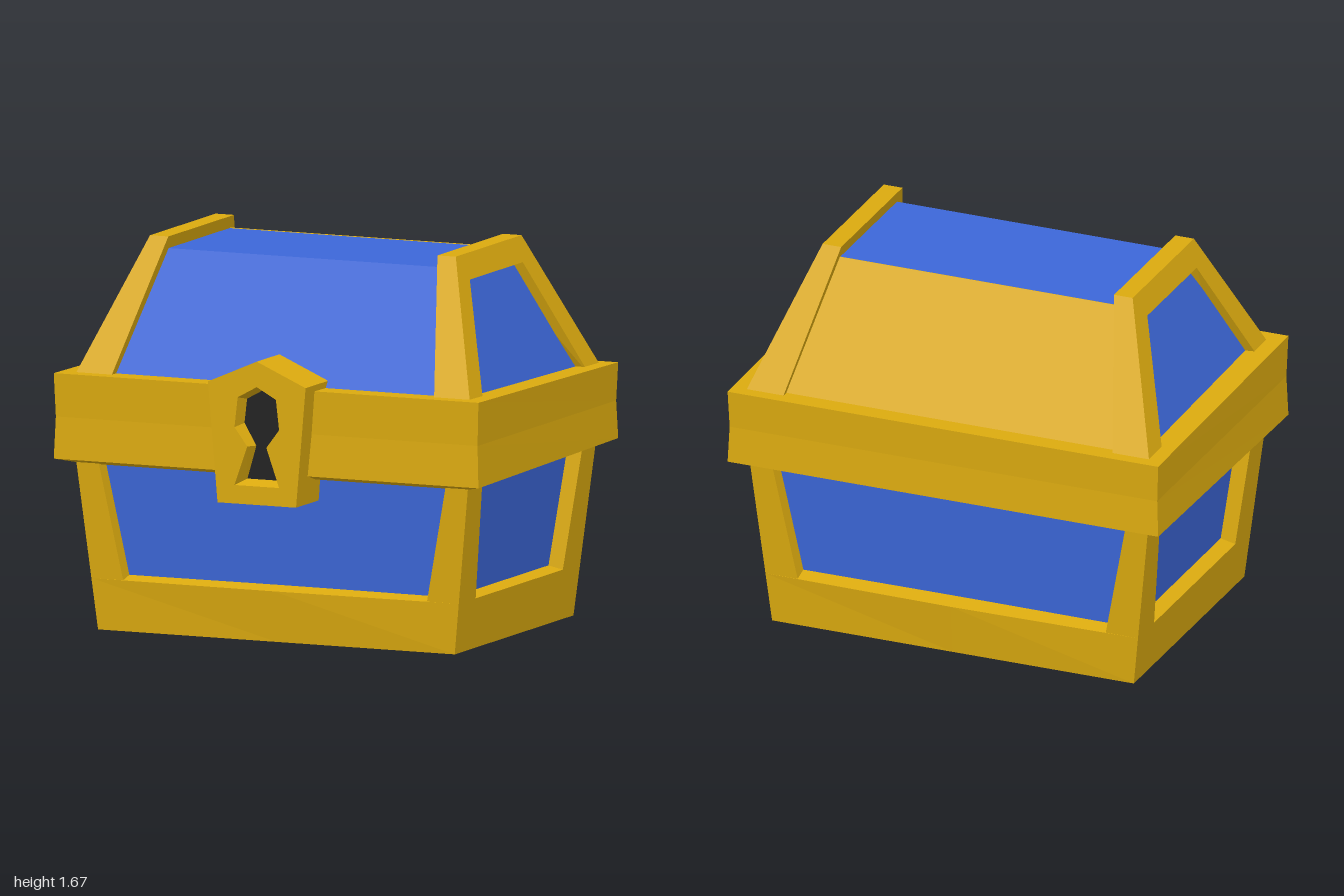
import * as THREE from 'three';

const gold = new THREE.MeshStandardMaterial({ color: 0xdbaa0f });
gold.name = 'gold';
const blue = new THREE.MeshStandardMaterial({ color: 0x3c67d8 });
blue.name = 'blue';
const dark = new THREE.MeshStandardMaterial({ color: 0x222222 });
dark.name = 'dark';

// Flat-shaded skin through rings of [x, y, z] points; capped solids are turned to face outward.
function loft(rings, capped = true) {
  const tris = [];
  const n = rings[0].length;
  for (let r = 0; r < rings.length - 1; r++) {
    const a = rings[r], b = rings[r + 1];
    for (let i = 0; i < n; i++) {
      const j = (i + 1) % n;
      tris.push([a[i], a[j], b[j]], [a[i], b[j], b[i]]);
    }
  }
  if (capped) {
    const a = rings[0], b = rings[rings.length - 1];
    for (let i = 1; i < n - 1; i++) tris.push([a[0], a[i + 1], a[i]], [b[0], b[i], b[i + 1]]);
    let volume = 0;
    for (const [p, q, s] of tris) {
      volume += new THREE.Vector3(...p).dot(new THREE.Vector3(...q).cross(new THREE.Vector3(...s)));
    }
    if (volume < 0) tris.forEach((t) => t.reverse());
  }
  const geometry = new THREE.BufferGeometry();
  geometry.setAttribute('position', new THREE.Float32BufferAttribute(tris.flat(2), 3));
  geometry.computeVertexNormals();
  return geometry;
}

// Horizontal rectangular ring; front and back edges may sit at different heights and bulge.
function ring(hx, zf, zb, yf, yb = yf, bulge = 0) {
  return [[hx, yf, zf], [0, yf, zf + bulge], [-hx, yf, zf],
    [-hx, yb, zb], [0, yb, zb - bulge], [hx, yb, zb]];
}

// Tapered body: half width, front z and back z at height y
const bodyX = (y) => 0.84 + 0.113 * y;
const bodyF = (y) => 0.56 + 0.06 * y;
const bodyB = (y) => -0.65 - 0.06 * y;
const bodyRing = (y, inset = 0, bulge = 0) =>
  ring(bodyX(y) - inset, bodyF(y) - inset, bodyB(y) + inset, y, y, bulge);

// Lid end arches: outer and inner x at height y
const archOut = (y) => 0.925 - 0.366 * (y - 1.115);
const archIn = (y) => 0.757 - 0.222 * (y - 1.12);
const lidEnd = (y) => archOut(y) - 0.04;

export function createModel() {
  const model = new THREE.Group();
  model.name = 'treasureChest';
  const add = (name, geometry, material) => {
    const mesh = new THREE.Mesh(geometry, material);
    mesh.name = name;
    model.add(mesh);
    return mesh;
  };

  // Body: recessed blue panels, base rail and corner posts
  add('bodyPanels', loft([bodyRing(0.1, 0.07), bodyRing(0.85, 0.07)]), blue);
  add('baseRail', loft([bodyRing(0), bodyRing(0.222, 0, 0.012), bodyRing(0.238, 0.08, 0.012)]), gold);
  const posts = [
    { name: 'Front', outer: bodyF, inner: (y) => 0.376 + 0.113 * y },
    { name: 'Back', outer: bodyB, inner: (y) => -0.457 - 0.137 * y },
  ];
  for (const s of [1, -1]) {
    for (const { name, outer, inner } of posts) {
      const section = (y) => {
        const ox = s * bodyX(y), ix = s * (0.671 + 0.2 * y);
        return [[ox, y, outer(y)], [ix, y, outer(y)], [ix, y, inner(y)], [ox, y, inner(y)]];
      };
      add((s > 0 ? 'left' : 'right') + name + 'Post', loft([section(0.18), section(0.8)]), gold);
    }
  }

  // Rim band around the opening
  add('rimBand', loft([
    ring(0.9, 0.58, -0.67, 0.718, 0.735),
    ring(1, 0.665, -0.76, 0.743, 0.762),
    ring(0.993, 0.659, -0.754, 0.925),
    ring(1, 0.665, -0.76, 1.113, 1.09),
  ]), gold);

  // Lid: blue core with a gold back slope
  const profile = [[0.585, 1.05], [0.26, 1.62], [-0.36, 1.62], [-0.69, 1.05]];
  const lidRing = (s, points, x) => points.map(([z, y]) => [s * x(y), y, z]);
  add('lidPanels', loft([lidRing(1, profile, lidEnd), lidRing(-1, profile, lidEnd)]), blue);
  const slope = [[-0.36, 1.62], [-0.69, 1.05], [-0.697, 1.054], [-0.366, 1.622]];
  const slopeEnd = (y) => archIn(y) + 0.03;
  add('lidBackPanel', loft([lidRing(1, slope, slopeEnd), lidRing(-1, slope, slopeEnd)]), gold);

  // Arched frames at both lid ends, each station: outer z, y, then window z, y
  const stations = [
    [0.628, 1.05, 0.496, 1.05], [0.29, 1.675, 0.23, 1.57],
    [-0.38, 1.675, -0.31, 1.57], [-0.728, 1.05, -0.587, 1.05],
  ];
  for (const s of [1, -1]) {
    const sections = stations.map(([zo, yo, zi, yi]) => {
      const yc = yi > 1.1 ? yi - 0.03 : yi;
      const zc = zi - Math.sign(zi + 0.04) * 0.03;
      return [
        [s * archOut(yo), yo, zo], [s * archIn(yo), yo, zo],
        [s * archIn(yc), yc, zc], [s * archOut(yi), yi, zi],
      ];
    });
    add(s > 0 ? 'leftLidArch' : 'rightLidArch', loft(sections), gold);
  }

  // Lock plate with a bevelled keyhole
  const mirrored = (half, top) => [...half, [0, top], ...half.map(([x, y]) => [-x, y]).reverse()];
  const toVectors = (points) => points.map(([x, y]) => new THREE.Vector2(x, y));
  const plate = new THREE.Shape(toVectors(mirrored([[0.185, 0.62], [0.23, 1.14]], 1.24)));
  const opening = mirrored([[0.105, 0.7], [0.045, 0.87], [0.105, 0.95], [0.09, 1.08]], 1.13);
  const keyhole = mirrored([[0.076, 0.72], [0.034, 0.865], [0.09, 0.96], [0.078, 1.065]], 1.108);
  plate.holes.push(new THREE.Path(toVectors(opening)));
  add('lockPlate', new THREE.ExtrudeGeometry(plate, { depth: 0.23, bevelEnabled: false }), gold)
    .position.z = 0.53;
  const atDepth = (points, z) => points.map(([x, y]) => [x, y, z]);
  add('keyholeBevel', loft([atDepth(opening, 0.76), atDepth(keyhole, 0.69)], false), gold);
  add('keyhole', new THREE.ShapeGeometry(new THREE.Shape(toVectors(keyhole))), dark)
    .position.z = 0.69;

  return model;
}
